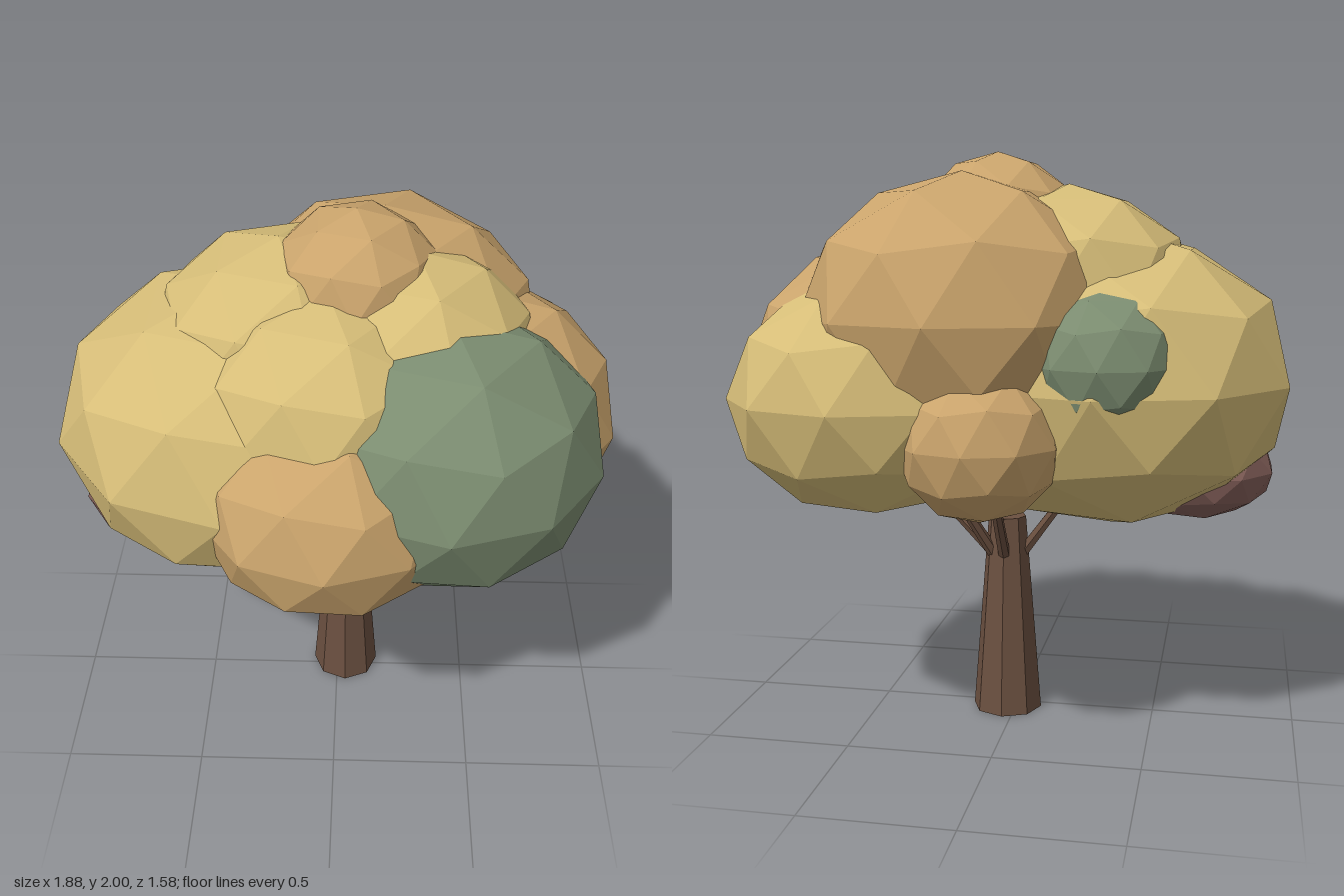
import * as THREE from 'three';

const flat = (color) => new THREE.MeshStandardMaterial({ color, flatShading: true });

export function createModel() {
  const tree = new THREE.Group();
  tree.name = 'tree';
  const bark = flat(0x6b5040);
  const yellow = flat(0xd6bd78);
  const orange = flat(0xcaa46c);
  const green = flat(0x7b8c70);
  const mauve = flat(0x84605a);

  const add = (parent, geometry, material, name) => {
    const mesh = new THREE.Mesh(geometry, material);
    mesh.name = name;
    parent.add(mesh);
    return mesh;
  };

  // Tapered trunk, standing slightly off centre
  const base = new THREE.Vector3(0.033, 0, -0.035);
  add(tree, new THREE.CylinderGeometry(0.068, 0.125, 0.72, 8).translate(base.x, 0.36, base.z), bark, 'trunk');

  // Branches fanning out from the upper trunk into the crown: angle, reach, top height
  const branches = new THREE.Group();
  branches.name = 'branches';
  tree.add(branches);
  const up = new THREE.Vector3(0, 1, 0);
  [[0, 0.32, 0.86], [50, 0.2, 0.9], [90, 0.24, 0.86], [180, 0.25, 0.85], [270, 0.3, 0.92], [320, 0.26, 0.9]]
    .forEach(([angle, reach, top]) => {
      const a = THREE.MathUtils.degToRad(angle);
      const at = (r, y) => new THREE.Vector3(base.x + r * Math.cos(a), y, base.z + r * Math.sin(a));
      const start = at(0.06, 0.59);
      const end = at(reach, top);
      const dir = end.clone().sub(start);
      const branch = add(branches, new THREE.CylinderGeometry(0.016, 0.022, dir.length(), 6), bark, 'branch');
      branch.position.copy(start).add(end).multiplyScalar(0.5);
      branch.quaternion.setFromUnitVectors(up, dir.normalize());
    });

  // Faceted foliage ball with a vertex at each pole
  const ball = new THREE.IcosahedronGeometry(1, 1);
  ball.rotateZ(-Math.atan(2 / (1 + Math.sqrt(5))));

  // Foliage clumps: name, material, centre, horizontal radius, vertical radius
  const foliage = new THREE.Group();
  foliage.name = 'foliage';
  tree.add(foliage);
  [
    ['rightLargeClump', yellow, [-0.34, 1.23, -0.025], 0.63, 0.52],
    ['leftFrontClump', green, [0.36, 1.28, 0.2], 0.53, 0.47],
    ['frontLowClump', orange, [-0.02, 1.17, 0.34], 0.45, 0.38],
    ['frontUpperClump', yellow, [-0.03, 1.43, 0.13], 0.46, 0.38],
    ['leftUpperClump', yellow, [0.25, 1.49, 0], 0.42, 0.39],
    ['rightUpperClump', yellow, [-0.19, 1.51, -0.07], 0.44, 0.38],
    ['topClump', orange, [0.06, 1.74, -0.05], 0.285, 0.26],
    ['backUpperClump', orange, [0.15, 1.45, -0.22], 0.55, 0.48],
    ['leftBackClump', yellow, [0.45, 1.18, -0.29], 0.49, 0.41],
    ['leftClump', orange, [0.45, 1.24, -0.06], 0.515, 0.47],
    ['backLowClump', orange, [0.03, 1.07, -0.52], 0.27, 0.26],
    ['backSmallClump', green, [-0.36, 1.32, -0.43], 0.25, 0.24],
    ['leftUnderClump', mauve, [0.66, 0.94, -0.02], 0.24, 0.14],
    ['rightUnderClump', mauve, [-0.63, 0.92, -0.01], 0.28, 0.18],
  ].forEach(([name, material, centre, r, h]) => {
    const clump = add(foliage, ball, material, name);
    clump.position.set(...centre);
    clump.scale.set(r, h, r);
  });

  return tree;
}
